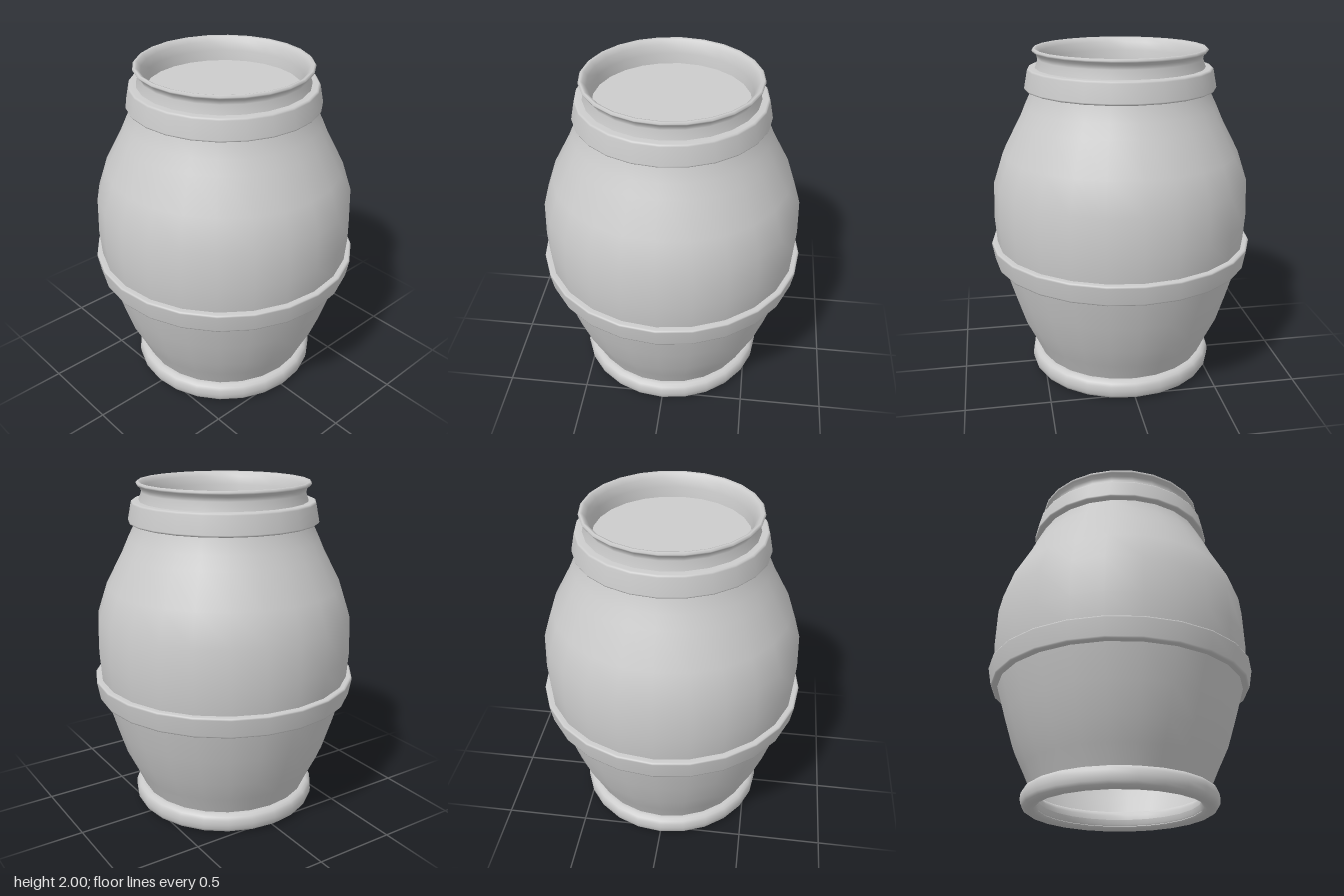
import * as THREE from 'three';

const SEGMENTS = 24;
const material = new THREE.MeshStandardMaterial({ color: 0xcccccc, side: THREE.DoubleSide });

// Revolve a list of [radius, height] points around the y axis.
function revolve(name, profile) {
  const points = profile.map(([r, y]) => new THREE.Vector2(r, y));
  const mesh = new THREE.Mesh(new THREE.LatheGeometry(points, SEGMENTS), material);
  mesh.name = name;
  return mesh;
}

// Slanted band with softened edges; its inner face is buried in the wall.
function band(name, y0, y1, r0, r1, inner0, inner1) {
  const b = 0.012;
  return revolve(name, [
    [inner0, y0], [r0 - b, y0], [r0 - b * 0.3, y0 + b * 0.3], [r0, y0 + b],
    [r1, y1 - b], [r1 - b * 0.3, y1 - b * 0.3], [r1 - b, y1], [inner1, y1],
  ]);
}

export function createModel() {
  const model = new THREE.Group();
  model.name = 'pot';

  // Bulging wall, open underneath
  model.add(revolve('body', [
    [0.47, 0.02], [0.52, 0.13], [0.565, 0.23], [0.627, 0.36], [0.68, 0.53],
    [0.735, 0.72], [0.757, 0.84], [0.768, 1.0], [0.76, 1.22], [0.70, 1.4],
    [0.60, 1.59], [0.565, 1.67], [0.516, 1.77], [0.495, 1.89],
  ]));

  // Neck flaring into a rounded lip, then down the inside to the lid
  model.add(revolve('neckAndLip', [
    [0.505, 1.83], [0.495, 1.89], [0.478, 1.94], [0.485, 1.965], [0.505, 1.98],
    [0.51, 1.99], [0.5, 2.0], [0.485, 1.995], [0.465, 1.97], [0.45, 1.92], [0.442, 1.85],
  ]));

  // Flat sunken lid
  const lid = new THREE.Mesh(new THREE.CircleGeometry(0.45, SEGMENTS), material);
  lid.name = 'lid';
  lid.rotation.x = -Math.PI / 2;
  lid.position.y = 1.86;
  model.add(lid);

  // Collar at the neck and hoop round the belly
  model.add(band('neckCollar', 1.765, 1.89, 0.56, 0.54, 0.5, 0.48));
  model.add(band('bellyHoop', 0.72, 0.845, 0.775, 0.793, 0.725, 0.745));

  // Rounded foot ring: two half circles joined by short flats
  const foot = [];
  for (let i = 0; i <= 16; i++) {
    const a = Math.PI + (i / 16) * Math.PI * 2;
    const side = i > 4 && i < 12 ? 0.512 : 0.518;
    foot.push([side + 0.055 * Math.sign(Math.cos(a)) * Math.abs(Math.cos(a)) ** 0.8,
      0.06 + 0.06 * Math.sign(Math.sin(a)) * Math.abs(Math.sin(a)) ** 0.8]);
  }
  model.add(revolve('footRing', foot));

  return model;
}
